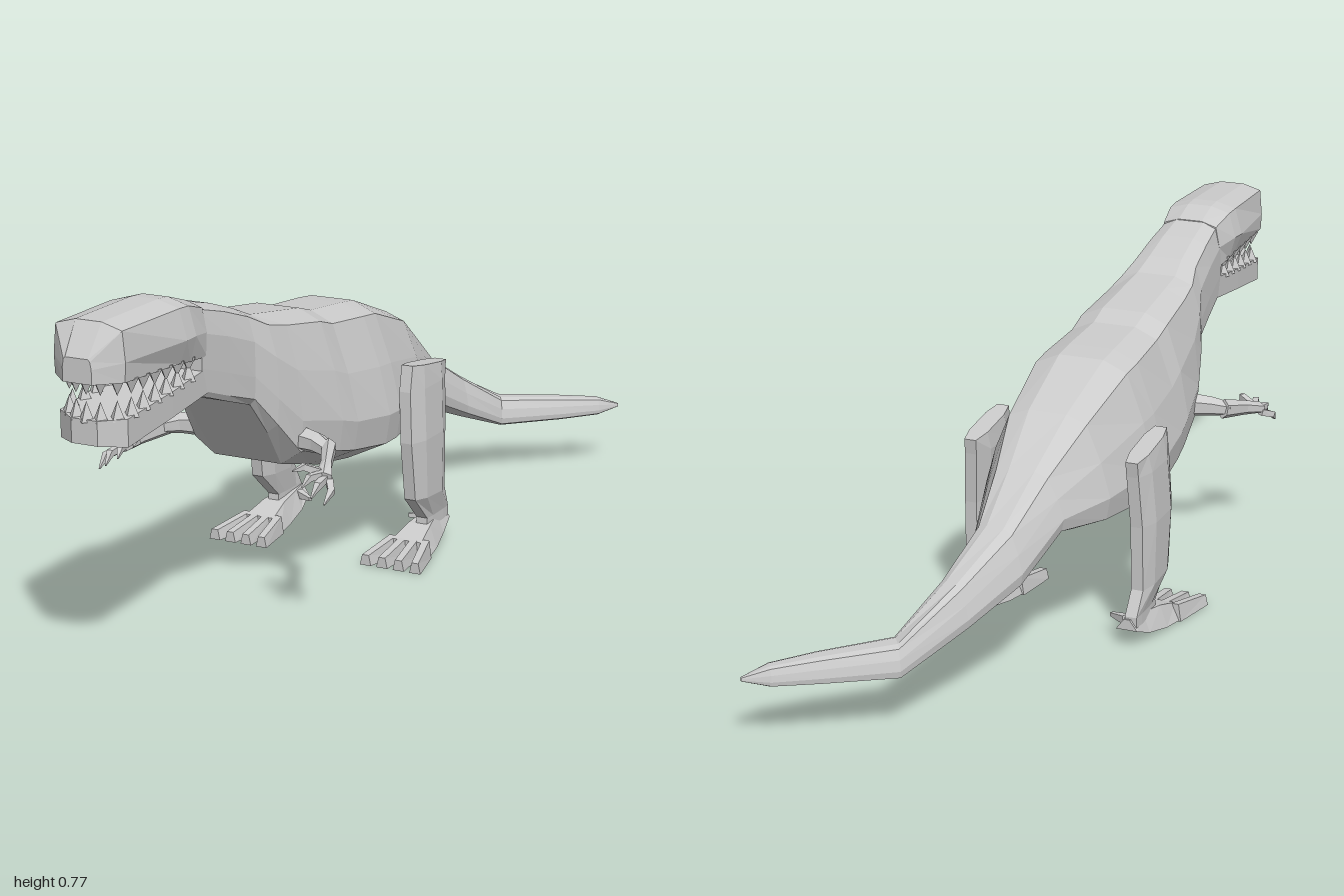
import * as THREE from 'three';

const CX = -0.04; // the body's plane of symmetry
const material = new THREE.MeshStandardMaterial({ color: 0xcccccc, flatShading: true });
const V = (x, y, z) => new THREE.Vector3(x, y, z);

function addMesh(parent, name, geometry) {
  const mesh = new THREE.Mesh(geometry, material);
  mesh.name = name;
  parent.add(mesh);
  return mesh;
}

// Skin a list of rings (equal point counts) and cap both ends, facing outward
function loft(rings) {
  const tris = [], n = rings[0].length, last = rings[rings.length - 1];
  for (let i = 0; i < rings.length - 1; i++) {
    for (let j = 0; j < n; j++) {
      const k = (j + 1) % n, A = rings[i], B = rings[i + 1];
      tris.push([A[j], B[j], B[k]], [A[j], B[k], A[k]]);
    }
  }
  for (let j = 1; j < n - 1; j++) {
    tris.push([rings[0][0], rings[0][j], rings[0][j + 1]], [last[0], last[j + 1], last[j]]);
  }
  const origin = rings[0][0];
  let volume = 0;
  for (const [a, b, c] of tris) {
    const [p, q, r] = [a, b, c].map((v) => v.clone().sub(origin));
    volume += p.dot(q.cross(r));
  }
  const pts = tris.flatMap(([a, b, c]) => (volume < 0 ? [a, c, b] : [a, b, c]));
  const g = new THREE.BufferGeometry().setFromPoints(pts);
  g.computeVertexNormals();
  return g;
}

// Close a half outline (top to bottom, +x side) into a mirrored ring
const mirrored = (half) => [...half, ...half.slice().reverse().map(([x, y]) => [-x, y])];

// Limb through joints [point, radius across x, radius across the rest]
function limb(joints, sides = 6) {
  const rings = joints.map(([p, r, r2 = r], i) => {
    const a = joints[Math.max(i - 1, 0)][0], b = joints[Math.min(i + 1, joints.length - 1)][0];
    const dir = b.clone().sub(a).normalize();
    const u = V(0, 1, 0).cross(dir).normalize(), w = dir.clone().cross(u);
    return Array.from({ length: sides }, (_, j) => {
      const t = ((j + 0.5) / sides) * Math.PI * 2;
      return p.clone().addScaledVector(u, r * Math.cos(t)).addScaledVector(w, r2 * Math.sin(t));
    });
  });
  return loft(rings);
}

function makeBody() {
  const round = [[0.3, 1], [0.62, 0.93], [0.85, 0.62], [1, 0.32], [0.94, 0.13], [0.4, 0]];
  const boxy = [[0.45, 1], [0.85, 0.93], [1, 0.68], [1, 0.3], [0.98, 0.06], [0.9, 0]];
  // z, centre x, top, bottom, half width, boxiness, yaw
  const stations = [
    [0.66, CX, 0.745, 0.55, 0.077, 1, 0],
    [0.56, CX, 0.72, 0.515, 0.085, 1, 0],
    [0.47, CX, 0.69, 0.485, 0.095, 0.9, 0],
    [0.41, CX, 0.665, 0.41, 0.118, 0.7, 0],
    [0.34, CX, 0.655, 0.32, 0.138, 0.4, 0],
    [0.2, CX, 0.635, 0.28, 0.163, 0.15, 0],
    [0.14, CX, 0.617, 0.262, 0.17, 0, 0],
    [0.0, CX, 0.605, 0.24, 0.18, 0, 0],
    [-0.06, CX, 0.598, 0.24, 0.178, 0, 0],
    [-0.25, CX, 0.53, 0.265, 0.148, 0, 0],
    [-0.39, CX, 0.445, 0.3, 0.1, 0, 0.05],
    [-0.52, -0.035, 0.36, 0.225, 0.07, 0, 0.2],
    [-0.65, 0.005, 0.28, 0.175, 0.05, 0, 0.4],
    [-0.795, 0.063, 0.197, 0.125, 0.045, 0.3, 0.95],
    [-0.895, 0.19, 0.187, 0.13, 0.035, 0.3, 0.9],
    [-0.96, 0.268, 0.178, 0.135, 0.024, 0.3, 0.9],
    [-0.998, 0.313, 0.158, 0.15, 0.004, 0.3, 0.9],
  ];
  return loft(stations.map(([z, cx, top, bot, hw, k, yaw]) => {
    const half = round.map(([x, y], i) => [x + (boxy[i][0] - x) * k, y + (boxy[i][1] - y) * k]);
    return mirrored(half).map(([x, y]) =>
      V(cx + x * hw * Math.cos(yaw), bot + y * (top - bot), z + x * hw * Math.sin(yaw)));
  }));
}

function makeHead() {
  const head = new THREE.Group();
  head.name = 'head';
  // z, half outline
  const upper = [
    [1.0, [[0.026, 0.7], [0.03, 0.695], [0.033, 0.68], [0.033, 0.65]]],
    [0.955, [[0.03, 0.765], [0.076, 0.752], [0.082, 0.69], [0.08, 0.65]]],
    [0.75, [[0.03, 0.767], [0.08, 0.753], [0.098, 0.69], [0.08, 0.64]]],
    [0.71, [[0.03, 0.764], [0.078, 0.75], [0.095, 0.69], [0.08, 0.635]]],
    [0.64, [[0.03, 0.742], [0.068, 0.73], [0.078, 0.68], [0.077, 0.63]]],
  ];
  const lower = [
    [0.98, [[0.03, 0.573], [0.03, 0.522]]],
    [0.945, [[0.078, 0.575], [0.078, 0.518]]],
    [0.78, [[0.08, 0.59], [0.08, 0.537]]],
    [0.64, [[0.077, 0.605], [0.077, 0.552]]],
  ];
  for (const [name, rows] of [['upperJaw', upper], ['lowerJaw', lower]]) {
    addMesh(head, name, loft(rows.map(([z, half]) => mirrored(half).map(([x, y]) => V(CX + x, y, z)))));
  }

  // Teeth along both sides and across the front of each jaw
  const spots = [[-0.028, 0.963], [0, 0.97], [0.028, 0.963], [-0.055, 0.945], [0.055, 0.945]];
  for (let i = 0; i < 6; i++) for (const s of [-1, 1]) spots.push([s * 0.068, 0.915 - i * 0.043]);
  for (const [x, z] of spots) {
    const up = addMesh(head, 'lowerTooth', new THREE.ConeGeometry(0.018, 0.04, 4));
    up.position.set(CX + x, 0.589 + (0.95 - z) * 0.09, z);
    const down = addMesh(head, 'upperTooth', new THREE.ConeGeometry(0.018, 0.034, 4));
    down.position.set(CX + x, 0.636 - (0.95 - z) * 0.04, z);
    down.rotation.x = Math.PI;
  }
  return head;
}

// side: +1 is the model's left, -1 its right; x is measured from the body plane
function makeLeg(side) {
  const leg = new THREE.Group();
  leg.name = side > 0 ? 'leftLeg' : 'rightLeg';
  const P = (x, y, z) => V(CX + side * x, y, z);
  // y front, z front, y back, z back, inner x, outer x
  const cuts = [
    [0.46, -0.06, 0.435, -0.24, 0.17, 0.215],
    [0.4, -0.047, 0.4, -0.235, 0.165, 0.222],
    [0.28, -0.042, 0.28, -0.225, 0.17, 0.23],
    [0.14, -0.062, 0.13, -0.222, 0.175, 0.228],
    [0.075, -0.135, 0.075, -0.25, 0.182, 0.214],
    [0.02, -0.13, 0.045, -0.25, 0.182, 0.214],
  ];
  addMesh(leg, 'thighAndShin', loft(cuts.map(([yf, zf, yb, zb, xi, xo]) => {
    const mid = (xi + xo) / 2, at = (x, t) => P(x, yf + (yb - yf) * t, zf + (zb - zf) * t);
    return [at(mid - 0.014, 0), at(mid + 0.014, 0), at(xo, 0.25), at(xo, 0.75),
      at(mid + 0.014, 1), at(mid - 0.014, 1), at(xi, 0.75), at(xi, 0.25)];
  })));

  // z, inner x, outer x, top, bottom
  const foot = [
    [-0.255, 0.165, 0.215, 0.07, 0.045],
    [-0.2, 0.155, 0.225, 0.068, 0.022],
    [-0.13, 0.148, 0.24, 0.06, 0.008],
    [-0.06, 0.14, 0.25, 0.04, 0.002],
  ];
  addMesh(leg, 'foot', loft(foot.map(([z, xi, xo, top, bot]) =>
    [P(xi, bot, z), P(xo, bot, z), P(xo - 0.018, top, z), P(xi + 0.018, top, z)])));
  for (let i = 0; i < 4; i++) {
    const a = 0.153 + i * 0.028, b = 0.137 + i * 0.042;
    addMesh(leg, 'toe', loft([[a, -0.075, 0.015, 0.043], [b, 0.038, 0.014, 0.026]].map(([x, z, w, h]) =>
      [P(x - w, 0.001, z), P(x + w, 0.001, z), P(x + w * 0.6, h, z), P(x - w * 0.6, h, z)])));
  }
  addMesh(leg, 'innerClaw', limb([[P(0.175, 0.055, -0.22), 0.014], [P(0.132, 0.052, -0.2), 0.006]], 4));
  return leg;
}

function makeArm(side) {
  const arm = new THREE.Group();
  arm.name = side > 0 ? 'leftArm' : 'rightArm';
  const P = (x, y, z) => V(CX + side * x, y, z);
  addMesh(arm, 'upperArm', limb([
    [P(0.11, 0.38, 0.32), 0.03], [P(0.17, 0.378, 0.335), 0.024], [P(0.21, 0.37, 0.355), 0.017],
  ]));
  addMesh(arm, 'forearm', limb([
    [P(0.2, 0.373, 0.34), 0.017, 0.024], [P(0.23, 0.358, 0.41), 0.013, 0.018], [P(0.25, 0.345, 0.46), 0.021, 0.014],
  ]));
  // Fingers: knuckle, middle joint and tip
  const fingers = [
    [[0.24, 0.352, 0.445], [0.205, 0.365, 0.465], [0.195, 0.362, 0.495]],
    [[0.242, 0.35, 0.455], [0.232, 0.352, 0.49], [0.226, 0.335, 0.512]],
    [[0.25, 0.343, 0.455], [0.255, 0.34, 0.495], [0.252, 0.318, 0.52]],
    [[0.258, 0.338, 0.45], [0.278, 0.326, 0.478], [0.276, 0.304, 0.508]],
  ];
  for (const [a, b, c] of fingers) {
    addMesh(arm, 'finger', limb([[P(...a), 0.011], [P(...b), 0.01], [P(...c), 0.002]], 4));
  }
  return arm;
}

export function createModel() {
  const model = new THREE.Group();
  model.name = 'dinosaur';
  addMesh(model, 'bodyAndTail', makeBody());
  model.add(makeHead());
  for (const side of [1, -1]) model.add(makeLeg(side), makeArm(side));
  return model;
}
